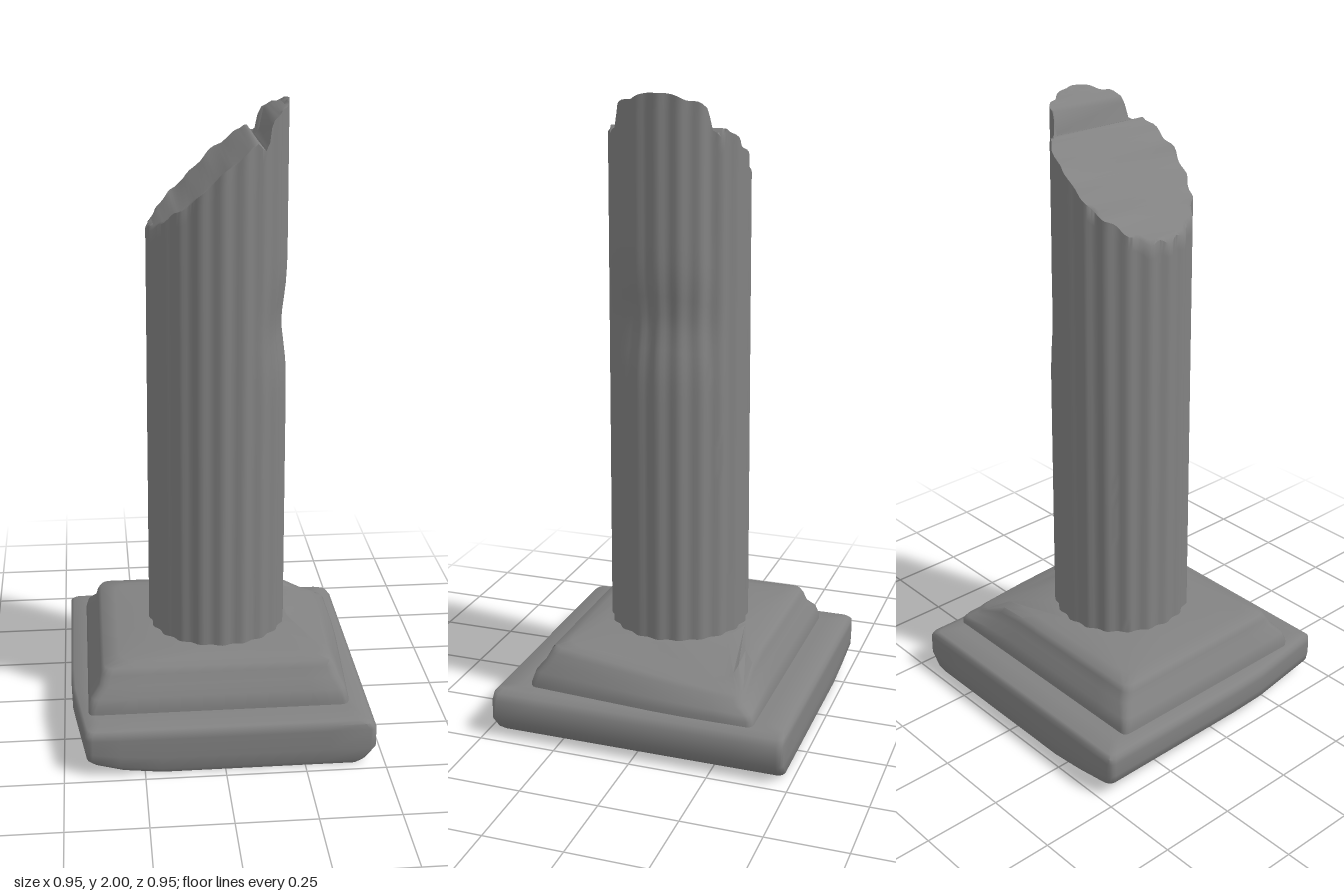
import * as THREE from 'three';
import { toCreasedNormals } from 'three/addons/utils/BufferGeometryUtils.js';

const material = new THREE.MeshStandardMaterial({ color: 0x828282 });
const { clamp, lerp, smoothstep } = THREE.MathUtils;

// Points of a rounded rectangle, running from +x towards +z, with subdivided edges
function roundedRect(y, x0, x1, z0, z1, r) {
  const corners = [[x1 - r, z1 - r], [x0 + r, z1 - r], [x0 + r, z0 + r], [x1 - r, z0 + r]];
  const points = [];
  corners.forEach(([cx, cz], k) => {
    for (let s = 0; s <= 3; s++) {
      const a = (k + s / 3) * Math.PI / 2;
      points.push(new THREE.Vector3(cx + r * Math.cos(a), y, cz + r * Math.sin(a)));
    }
    const from = points[points.length - 1];
    const a = (k + 1) * Math.PI / 2;
    const [nx, nz] = corners[(k + 1) % 4];
    const to = new THREE.Vector3(nx + r * Math.cos(a), y, nz + r * Math.sin(a));
    for (let s = 1; s < 7; s++) points.push(from.clone().lerp(to, s / 7));
  });
  return points;
}

// Skin over equal-length rings listed from bottom to top
function loft(name, rings, capIndices) {
  const n = rings[0].length;
  const index = [];
  for (let i = 0; i < rings.length - 1; i++) {
    for (let j = 0; j < n; j++) {
      const a = i * n + j, b = i * n + (j + 1) % n;
      index.push(a, a + n, b, b, a + n, b + n);
    }
  }
  index.push(...capIndices(n, (rings.length - 1) * n));
  const geometry = new THREE.BufferGeometry().setFromPoints(rings.flat());
  geometry.setIndex(index);
  const mesh = new THREE.Mesh(toCreasedNormals(geometry, 1), material);
  mesh.name = name;
  return mesh;
}

// Flat caps for the convex base blocks
function fanCaps(n, top) {
  const index = [];
  for (let j = 1; j < n - 1; j++) index.push(0, j, j + 1, top, top + j + 1, top + j);
  return index;
}

// Broken cap: strips across the shaft joining mirrored rim points
function stripCap(n, top) {
  const index = [];
  for (let j = 0; j < n / 2; j++) {
    const a = top + j, b = top + j + 1;
    const c = top + (n - j) % n, d = top + n - j - 1;
    index.push(a, c, b, b, c, d);
  }
  return index;
}

// Square slab with a worn underside on one side and a clipped front corner
function makePlinth() {
  const rings = [
    roundedRect(0.003, -0.4, 0.38, -0.43, 0.43, 0.02),
    roundedRect(0.005, -0.455, 0.42, -0.468, 0.466, 0.02),
    roundedRect(0.02, -0.47, 0.44, -0.476, 0.473, 0.02),
    roundedRect(0.06, -0.475, 0.473, -0.477, 0.475, 0.02),
    roundedRect(0.125, -0.475, 0.473, -0.477, 0.475, 0.02),
    roundedRect(0.145, -0.474, 0.458, -0.476, 0.474, 0.02),
    roundedRect(0.154, -0.465, 0.435, -0.466, 0.464, 0.02),
    roundedRect(0.157, -0.4, 0.4, -0.4, 0.4, 0.02),
  ];
  for (const p of rings.flat()) {
    const wear = clamp((-p.x - 0.24) / 0.235, 0, 1);
    p.y += 0.042 * wear * clamp(1 - p.y / 0.13, 0, 1);
    if (p.x < -0.4 && p.z > 0.16) p.x += 0.14 * (p.z - 0.16);
  }
  return loft('plinth', rings, fanCaps);
}

// Stepped moulding, worn down along its left side towards the back
function makeMoulding() {
  const rings = [
    roundedRect(0.13, -0.42, 0.43, -0.372, 0.37, 0.02),
    roundedRect(0.17, -0.42, 0.43, -0.372, 0.37, 0.02),
    roundedRect(0.205, -0.412, 0.42, -0.362, 0.36, 0.025),
    roundedRect(0.235, -0.385, 0.402, -0.338, 0.335, 0.03),
    roundedRect(0.265, -0.378, 0.39, -0.327, 0.32, 0.03),
    roundedRect(0.283, -0.367, 0.375, -0.318, 0.308, 0.03),
    roundedRect(0.29, -0.32, 0.33, -0.28, 0.275, 0.06),
    roundedRect(0.303, -0.22, 0.245, -0.232, 0.232, 0.2),
  ];
  for (const p of rings.flat()) {
    const chip = clamp((0.3 - p.z) / 0.67, 0, 1) * smoothstep(p.x, 0.22, 0.37);
    if (p.y > 0.17) p.y = lerp(p.y, 0.17, 0.58 * chip);
    if (p.x > 0.35) p.x -= 0.03 * clamp((p.z + 0.1) / 0.47, 0, 1);
  }
  return loft('baseMoulding', rings, fanCaps);
}

// Height of the break: a long slope, a notch and a standing splinter
const breakLine = [[-0.22, 1.6], [-0.19, 1.63], [-0.1, 1.71], [0, 1.8], [0.118, 1.9],
  [0.138, 1.868], [0.153, 1.885], [0.162, 1.95], [0.225, 2], [0.3, 2]];
function breakHeight(x) {
  for (let i = 1; i < breakLine.length; i++) {
    const [xa, ya] = breakLine[i - 1], [xb, yb] = breakLine[i];
    if (x <= xb) return lerp(ya, yb, clamp((x - xa) / (xb - xa), 0, 1));
  }
  return 2;
}

// Shallow-fluted shaft with a soft dent and a long scar on the left side
function makeShaft() {
  const flutes = 20, sides = flutes * 6, levels = 32;
  const rings = [];
  for (let i = 0; i <= levels; i++) {
    const t = i / levels;
    const ring = [];
    for (let j = 0; j < sides; j++) {
      const a = j / sides * Math.PI * 2;
      const arris = Math.abs(Math.cos(a * flutes / 2));
      const r = lerp(0.224, 0.217, t) - 0.009 * (1 - arris * arris);
      const x = 0.012 + r * Math.cos(a);
      const ragged = 0.007 * Math.sin(a * 13) * Math.sin(a * 5);
      const y = lerp(0.27, Math.min(2, breakHeight(x) + ragged), t);
      const dent = 0.017 * Math.exp(-(((y - 1.32) / 0.1) ** 2)) * smoothstep(x, 0.1, 0.22);
      const scar = 0.014 * Math.exp(-(((a - 5.45) / 0.16) ** 2)) * smoothstep(y, 1.1, 1.6);
      const k = 1 - (dent + scar) / r;
      ring.push(new THREE.Vector3(0.012 + (x - 0.012) * k, y, r * Math.sin(a) * k));
    }
    rings.push(ring);
  }
  // Inset rim, so the break itself stays smooth inside its ragged edge
  rings.push(rings[levels].map((p) => {
    const x = lerp(0.012, p.x, 0.95);
    return new THREE.Vector3(x, breakHeight(x), p.z * 0.95);
  }));
  return loft('brokenShaft', rings, stripCap);
}

export function createModel() {
  const group = new THREE.Group();
  group.name = 'brokenColumn';
  group.add(makePlinth(), makeMoulding(), makeShaft());
  return group;
}
